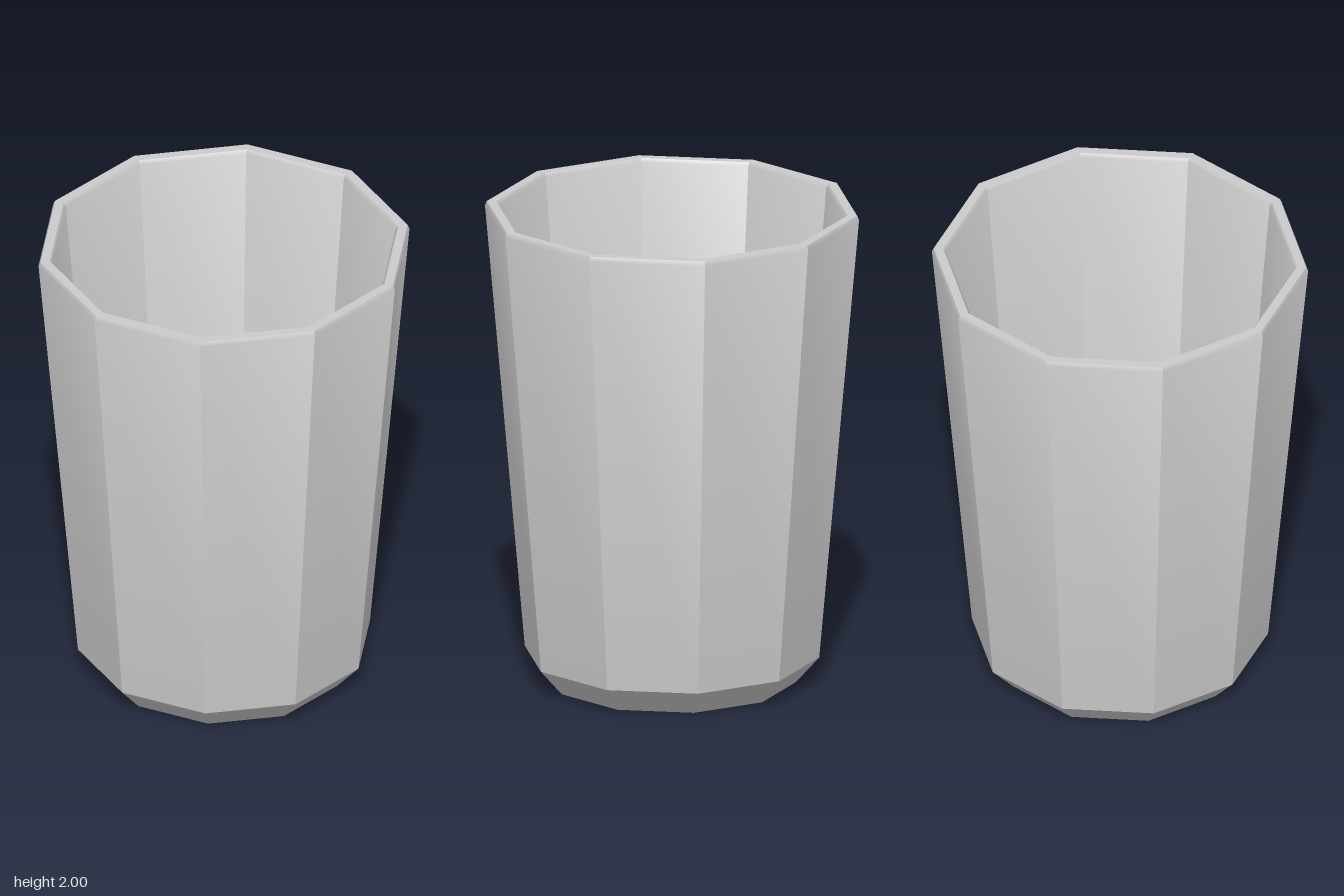
import * as THREE from 'three';
import { toCreasedNormals } from 'three/addons/utils/BufferGeometryUtils.js';

const SIDES = 10;
const material = new THREE.MeshStandardMaterial({ color: 0xcccccc });

// Ten-sided surface of revolution with a corner on the x axis
function facetedLathe(name, profile) {
  const points = profile.map(([r, y]) => new THREE.Vector2(r, y));
  const lathe = new THREE.LatheGeometry(points, SIDES, Math.PI / 2);
  const mesh = new THREE.Mesh(toCreasedNormals(lathe, THREE.MathUtils.degToRad(30)), material);
  mesh.name = name;
  return mesh;
}

export function createModel() {
  const group = new THREE.Group();
  group.name = 'tumbler';

  // One closed shell: underside, outer wall, rim, inner wall, raised floor
  group.add(facetedLathe('cupShell', [
    [0, 0],
    [0.51, 0],       // base edge
    [0.607, 0.11],   // top of the base chamfer
    [0.771, 1.982],  // outer rim bevel
    [0.763, 2],
    [0.724, 2],      // inner rim bevel
    [0.714, 1.985],
    [0.548, 0.13],   // foot of the inner wall
    [0.488, 0.06],   // groove around the floor
    [0.407, 0.105],  // raised floor
    [0, 0.105],
  ]));

  return group;
}
